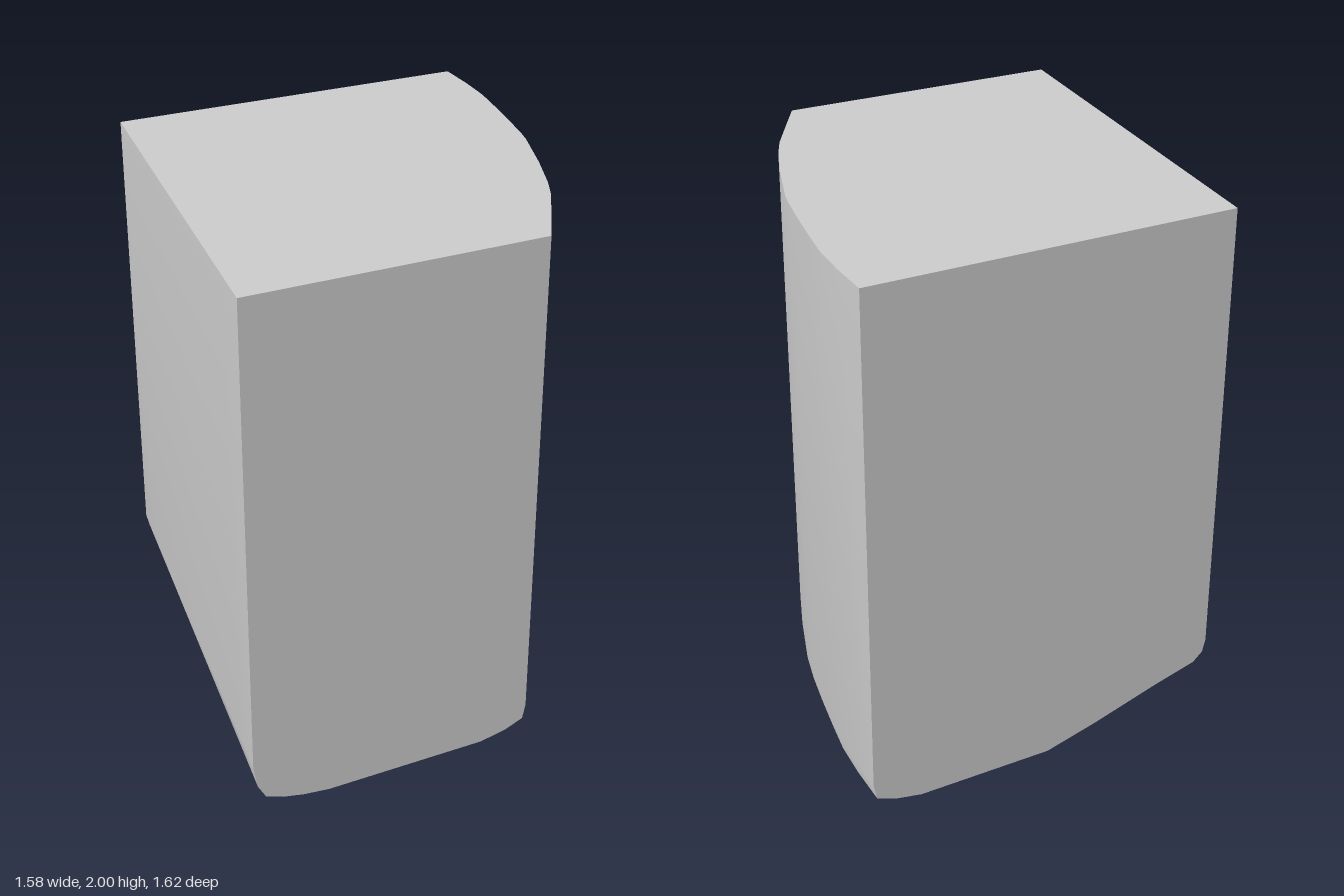
import * as THREE from 'three';
import { toCreasedNormals } from 'three/addons/utils/BufferGeometryUtils.js';

const FRONT = 0.81, BACK = -0.81;

// Curved side in plan: [z, x] from front to back
const SIDE = [
  [0.81, 0.305], [0.65, 0.4], [0.5, 0.488], [0.4, 0.535], [0.22, 0.605], [0, 0.68],
  [-0.06, 0.695], [-0.2, 0.723], [-0.36, 0.752], [-0.5, 0.775], [-0.65, 0.785], [-0.81, 0.787],
];

// Lower edge on the straight side: [inset, y] at the front and at the back
const EDGE_FRONT = [[0, 0.2], [0.015, 0.11], [0.045, 0.055], [0.11, 0.03], [0.19, 0.012], [0.29, 0]];
const EDGE_BACK = [[0, 0.27], [0.012, 0.22], [0.05, 0.185], [0.22, 0.137], [0.48, 0.055], [0.68, 0]];
// Lower edge on the curved side: [inset, y]
const EDGE_CURVED = [[0.185, 0], [0.085, 0.02], [0.012, 0.05], [0, 0.11]];

// Cross-section at one depth, counterclockwise seen from the front
function section([z, right]) {
  const t = (FRONT - z) / (FRONT - BACK);
  const left = THREE.MathUtils.lerp(-0.79, -0.597, t);
  const points = [[right, 2], [left, 2]];
  EDGE_FRONT.forEach(([dx, y], i) => points.push([
    left + THREE.MathUtils.lerp(dx, EDGE_BACK[i][0], t),
    THREE.MathUtils.lerp(y, EDGE_BACK[i][1], t),
  ]));
  EDGE_CURVED.forEach(([dx, y]) => points.push([right - dx, y]));
  return points.map(([x, y]) => [x, y, z]);
}

// Skin the sections and close both ends
function loft(sections) {
  const n = sections[0].length, last = (sections.length - 1) * n;
  const index = [];
  for (let k = 0; k < sections.length - 1; k++) {
    for (let i = 0; i < n; i++) {
      const a = k * n + i, b = k * n + (i + 1) % n;
      index.push(a, a + n, b, b, a + n, b + n);
    }
  }
  for (let i = 1; i < n - 1; i++) {
    index.push(0, i, i + 1);
    index.push(last, last + i + 1, last + i);
  }
  const geometry = new THREE.BufferGeometry();
  geometry.setAttribute('position', new THREE.Float32BufferAttribute(sections.flat(2), 3));
  geometry.setIndex(index);
  return toCreasedNormals(geometry, 0.4);
}

export function createModel() {
  const group = new THREE.Group();
  const block = new THREE.Mesh(
    loft(SIDE.map(section)),
    new THREE.MeshStandardMaterial({ color: 0xcccccc }),
  );
  block.name = 'block';
  group.add(block);
  return group;
}
